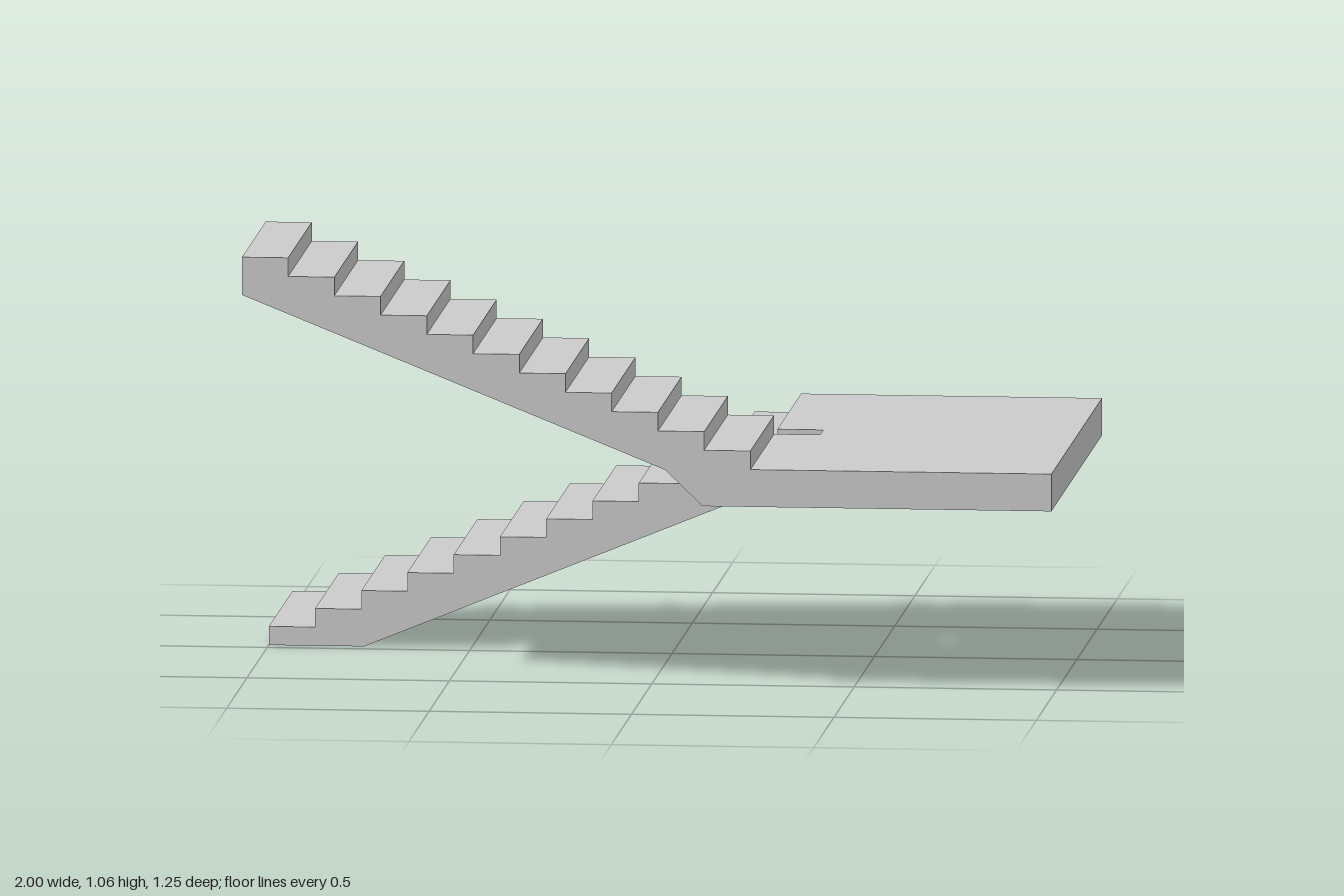
import * as THREE from 'three';

const STEPS = 12;
const GOING = 0.1142, RISE = 0.0463;   // one tread
const LANDING_Y = STEPS * RISE;        // walking surface of the landing
const UNDER_Y = LANDING_Y - 2 * RISE;  // underside of the landing
const JOIN_X = 0.37;                   // where the flights meet the landing
const HALF_Z = 0.625, GAP = 0.04;      // half width, half of the open well

// Removes the faces hidden inside the joint between flight and landing
function openAtJoint(geometry) {
  const src = geometry.index ? geometry.toNonIndexed() : geometry;
  const p = src.attributes.position;
  const kept = [];
  for (let i = 0; i < p.count; i += 3) {
    if ([0, 1, 2].every(k => Math.abs(p.getX(i + k) - JOIN_X) < 1e-4)) continue;
    for (let k = 0; k < 3; k++) kept.push(p.getX(i + k), p.getY(i + k), p.getZ(i + k));
  }
  const out = new THREE.BufferGeometry();
  out.setAttribute('position', new THREE.Float32BufferAttribute(kept, 3));
  out.computeVertexNormals();
  return out;
}

// Extrudes a side profile across the width of one flight
function flightGeometry(points, z0) {
  const shape = new THREE.Shape(points.map(([x, y]) => new THREE.Vector2(x, y)));
  const geo = new THREE.ExtrudeGeometry(shape, { depth: HALF_Z - GAP, bevelEnabled: false });
  return openAtJoint(geo.translate(0, 0, z0));
}

export function createModel() {
  const group = new THREE.Group();
  const material = new THREE.MeshStandardMaterial({ color: 0xcccccc, flatShading: true });
  const add = (name, geometry) => {
    const mesh = new THREE.Mesh(geometry, material);
    mesh.name = name;
    group.add(mesh);
    return mesh;
  };

  // Lower flight: climbs from the floor to the landing along the back
  const lower = [[-1, 0]];
  for (let i = 0; i < STEPS; i++) {
    const x = -1 + i * GOING;
    lower.push([x, (i + 1) * RISE], [i < STEPS - 1 ? x + GOING : JOIN_X, (i + 1) * RISE]);
  }
  lower.push([JOIN_X, UNDER_Y], [-0.765, 0]);
  add('lowerFlight', flightGeometry(lower, -HALF_Z));

  // Upper flight: climbs back from the landing along the front
  const upper = [[JOIN_X, UNDER_Y], [JOIN_X, LANDING_Y]];
  for (let i = 0; i < STEPS - 1; i++) {
    const x = -1 + (STEPS - 1 - i) * GOING;
    upper.push([x, LANDING_Y + i * RISE], [x, LANDING_Y + (i + 1) * RISE]);
  }
  upper.push([-1, LANDING_Y + (STEPS - 1) * RISE], [-1, 0.971], [0.045, 0.552], [0.138, UNDER_Y]);
  add('upperFlight', flightGeometry(upper, GAP));

  // Landing slab
  const slab = new THREE.BoxGeometry(1 - JOIN_X, LANDING_Y - UNDER_Y, 2 * HALF_Z);
  slab.translate((1 + JOIN_X) / 2, (LANDING_Y + UNDER_Y) / 2, 0);
  add('landing', openAtJoint(slab));

  // Edge of the landing at the end of the open well
  const edge = new THREE.PlaneGeometry(2 * GAP, LANDING_Y - UNDER_Y);
  edge.rotateY(-Math.PI / 2).translate(JOIN_X, (LANDING_Y + UNDER_Y) / 2, 0);
  add('wellEdge', edge);

  return group;
}
